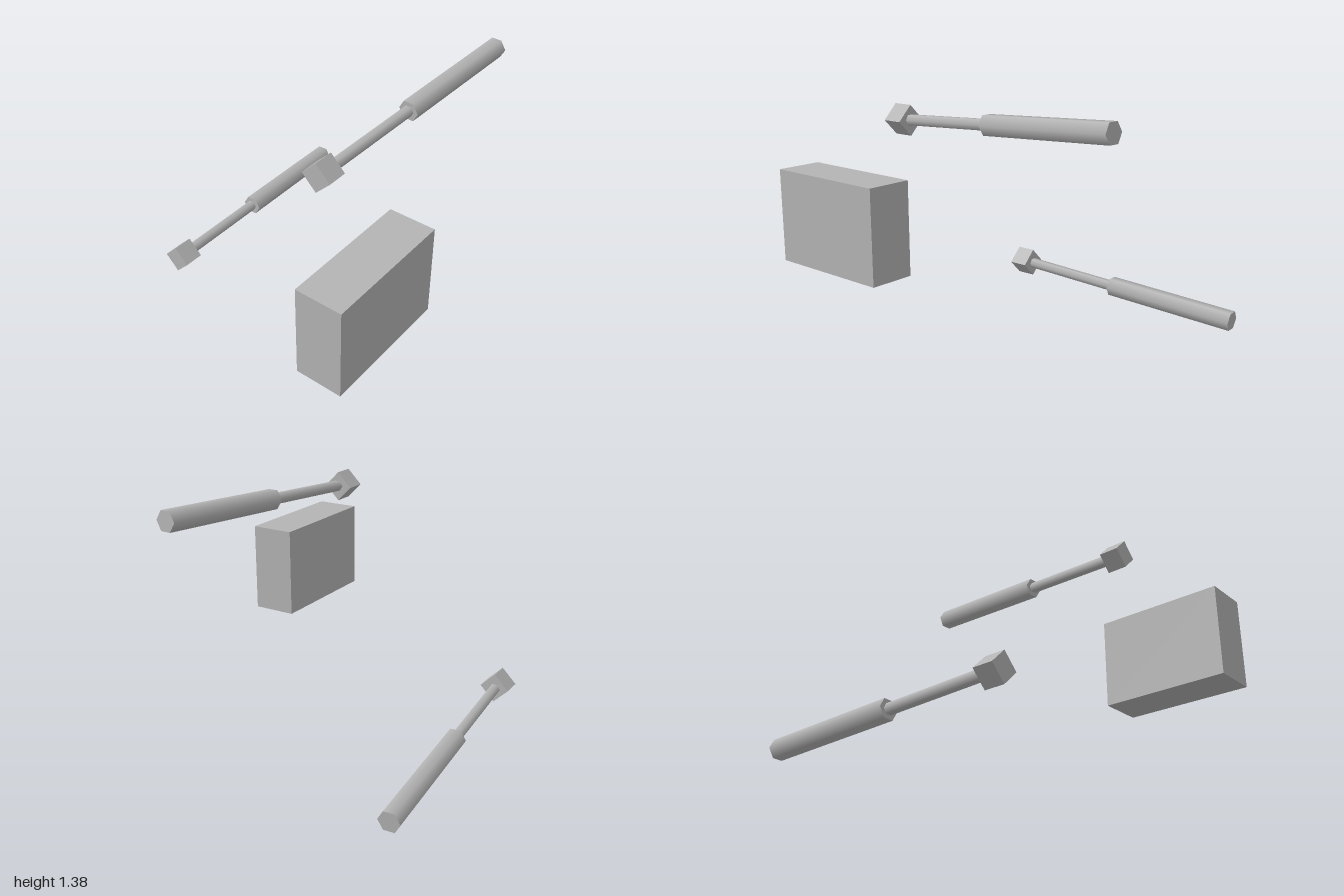
import * as THREE from 'three';

const grey = new THREE.MeshStandardMaterial({ color: 0xb4b4b4 });
grey.name = 'plain grey';

function part(name, geometry) {
  const mesh = new THREE.Mesh(geometry, grey);
  mesh.name = name;
  return mesh;
}

// Six-sided smooth rod along z, corners pointing to the sides
function hexRod(name, radius, from, to) {
  const geometry = new THREE.CylinderGeometry(radius, radius, to - from, 6);
  geometry.rotateY(Math.PI / 2).rotateX(Math.PI / 2).translate(0, 0, (from + to) / 2);
  return part(name, geometry);
}

// Square end block with a thin rod sliding into a thicker sleeve behind it
function createArm(name, x, y, lean) {
  const arm = new THREE.Group();
  arm.name = name;
  arm.position.set(x, y, 0.5);

  const block = part('endBlock', new THREE.BoxGeometry(0.123, 0.123, 0.12));
  block.rotation.z = Math.PI / 4;

  const strut = new THREE.Group();
  strut.name = 'strut';
  strut.add(hexRod('rod', 0.033, 0, 0.7), hexRod('sleeve', 0.061, 0.673, 1.498));
  strut.lookAt(lean, lean, -1);

  arm.add(block, strut);
  return arm;
}

export function createModel() {
  const model = new THREE.Group();
  model.name = 'strutsAndBox';

  // Two arms leaning away from each other towards the back
  model.add(createArm('upperLeftArm', 0.373, 1.241, 0.063));
  model.add(createArm('lowerRightArm', -0.715, 0.152, -0.063));

  // Large box at the front left
  const box = part('largeBox', new THREE.BoxGeometry(0.267, 0.537, 0.764));
  box.position.set(0.733, 0.697, 0.618);
  model.add(box);
  return model;
}
